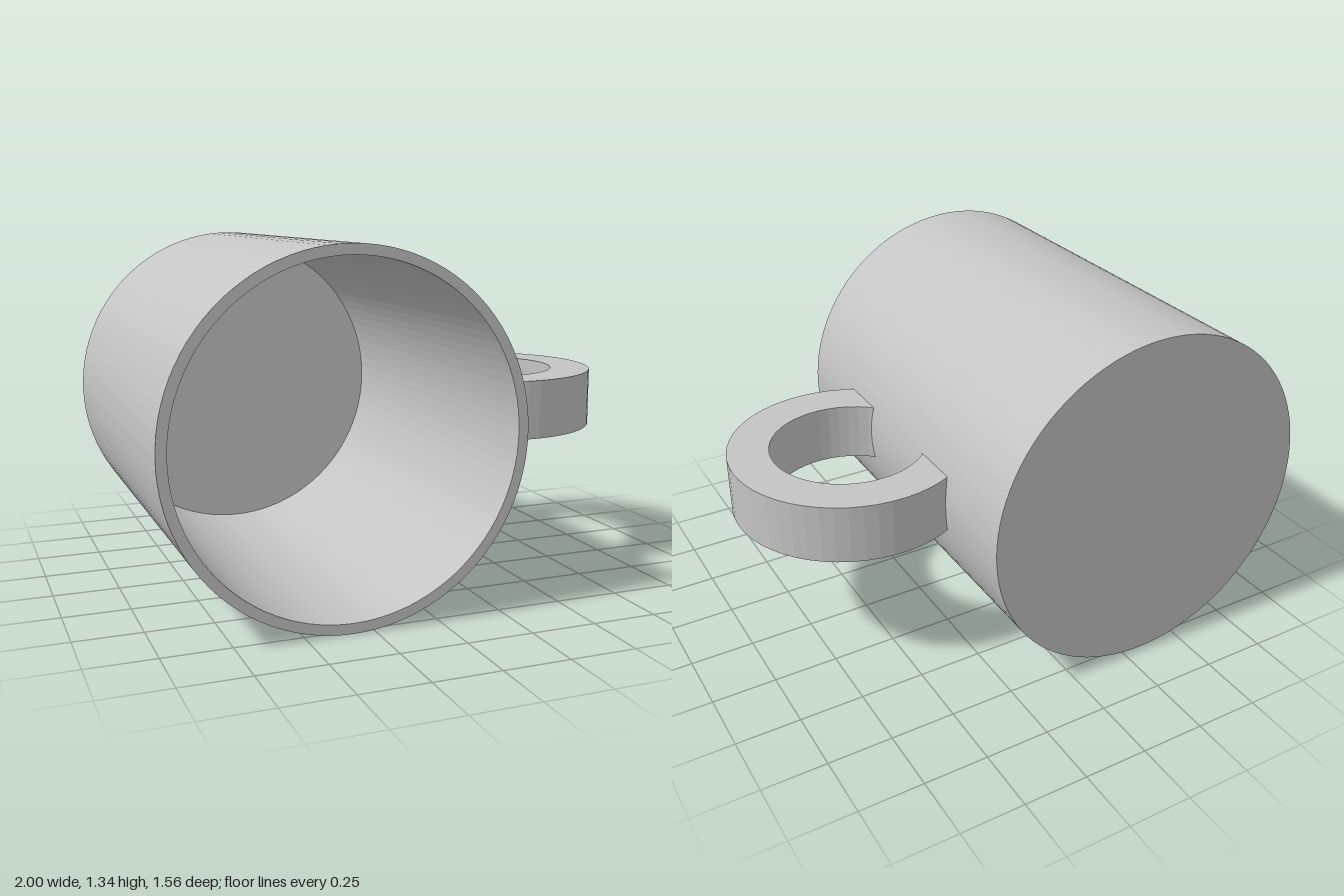
import * as THREE from 'three';

export function createModel() {
  const model = new THREE.Group();
  model.name = 'mug';
  const grey = new THREE.MeshStandardMaterial({ color: 0xc4c4c4, flatShading: true });
  grey.name = 'grey';

  // Hollow cup lying on its side, open towards +z, closed at the back
  const outer = 0.67, inner = 0.632, half = 0.78, wall = outer - inner;
  const profile = [
    [0, -half], [outer, -half], [outer, half],
    [inner, half], [inner, -half + wall], [0, -half + wall],
  ].map(([r, h]) => new THREE.Vector2(r, h));
  const cup = new THREE.Mesh(new THREE.LatheGeometry(profile, 96).rotateX(Math.PI / 2), grey);
  cup.name = 'cup';
  cup.position.set(-0.33, outer, 0);
  model.add(cup);

  // Flat ring handle, cut off inside the cup wall
  const ringOuter = 0.46, ringInner = 0.3, cut = 0.22;
  const a = Math.PI - Math.acos(cut / ringOuter);
  const b = Math.PI - Math.acos(cut / ringInner);
  const ring = new THREE.Shape();
  ring.absarc(0, 0, ringOuter, -a, a, false);
  ring.absarc(0, 0, ringInner, b, -b, true);
  ring.closePath();
  const handleGeometry = new THREE.ExtrudeGeometry(ring, { depth: 0.23, bevelEnabled: false, curveSegments: 18 });
  const handle = new THREE.Mesh(handleGeometry.rotateX(-Math.PI / 2), grey);
  handle.name = 'handle';
  handle.position.set(0.54, 0.56, 0);
  model.add(handle);

  return model;
}
